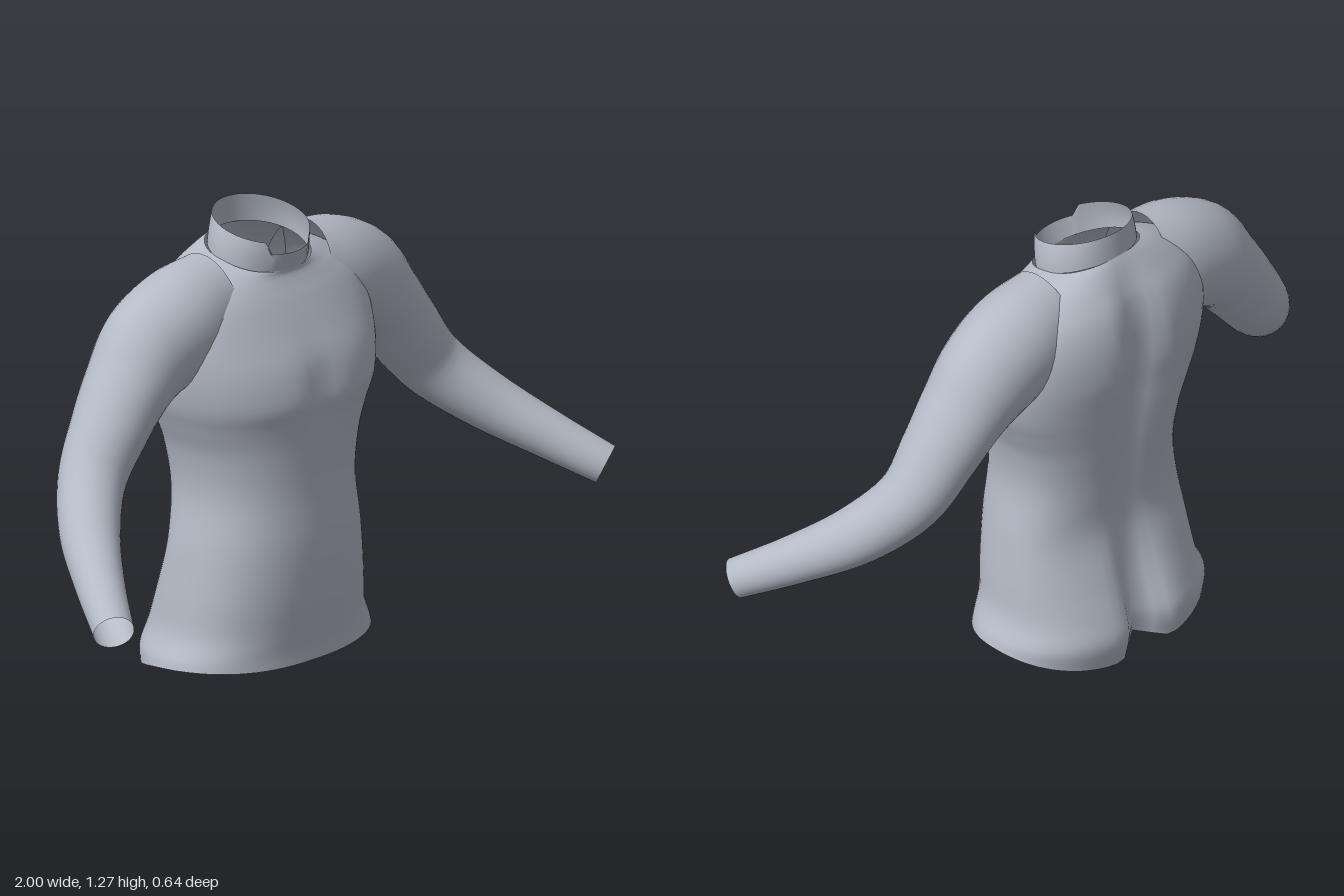
import * as THREE from 'three';

// Smooth open tube: point(t, angle) gives the surface, t running 0..1
function loft(point, rows, cols, flip, material, name) {
  const pos = [], idx = [];
  for (let i = 0; i <= rows; i++) {
    for (let j = 0; j < cols; j++) pos.push(...point(i / rows, (j / cols) * Math.PI * 2));
  }
  for (let i = 0; i < rows; i++) {
    for (let j = 0; j < cols; j++) {
      const a = i * cols + j, b = i * cols + ((j + 1) % cols);
      const c = a + cols, d = b + cols;
      if (flip) idx.push(a, c, b, b, c, d);
      else idx.push(a, b, c, b, d, c);
    }
  }
  const geo = new THREE.BufferGeometry();
  geo.setAttribute('position', new THREE.Float32BufferAttribute(pos, 3));
  geo.setIndex(idx);
  geo.computeVertexNormals();
  const mesh = new THREE.Mesh(geo, material);
  mesh.name = name;
  return mesh;
}

const spline = (pts) =>
  new THREE.CatmullRomCurve3(pts.map((p) => new THREE.Vector3(...p)), false, 'catmullrom', 0.5);
const spow = (v, e) => Math.sign(v) * Math.pow(Math.abs(v), e);

export function createModel() {
  const cloth = new THREE.MeshStandardMaterial({ color: 0xb4bac6, side: THREE.DoubleSide });
  cloth.name = 'greyCloth';
  const shirt = new THREE.Group();
  shirt.name = 'shirt';

  // Torso rows: front y, back y, half width, front z, back z, centre back groove
  const rows = [
    [0.06, 0.0, 0.355, 0.125, -0.315, 0.06],
    [0.1, 0.08, 0.345, 0.125, -0.332, 0.075],
    [0.16, 0.15, 0.317, 0.132, -0.318, 0.07],
    [0.26, 0.26, 0.305, 0.142, -0.28, 0.045],
    [0.39, 0.39, 0.287, 0.147, -0.243, 0.015],
    [0.53, 0.53, 0.265, 0.142, -0.253, 0.02],
    [0.65, 0.65, 0.28, 0.146, -0.272, 0.03],
    [0.73, 0.73, 0.31, 0.154, -0.285, 0.035],
    [0.8, 0.8, 0.338, 0.166, -0.295, 0.04],
    [0.89, 0.9, 0.355, 0.148, -0.31, 0.045],
    [0.98, 1.0, 0.355, 0.105, -0.306, 0.04],
    [1.05, 1.08, 0.325, 0.07, -0.285, 0.03],
    [1.09, 1.14, 0.265, 0.048, -0.25, 0.015],
    [1.115, 1.18, 0.2, 0.036, -0.222, 0.005],
    [1.13, 1.2, 0.148, 0.036, -0.205, 0],
  ];
  const sizeA = spline(rows.map((r) => r.slice(0, 3)));
  const sizeB = spline(rows.map((r) => r.slice(3, 6)));
  const torso = (t, a) => {
    const { x: yf, y: yb, z: w } = sizeA.getPoint(t);
    const { x: zf, y: zb, z: groove } = sizeB.getPoint(t);
    const c = Math.cos(a), back = (1 - c) / 2;
    const x = w * spow(Math.sin(a), 0.85);
    const cz = -0.085;
    let z = cz + (c > 0 ? zf - cz : cz - zb) * spow(c, 0.85);
    let y = yf + (yb - yf) * Math.pow(back, yf < 0.3 ? 3 : 1);
    const mid = Math.exp(-Math.pow(x / 0.055, 2));
    if (c < 0) {
      z += groove * mid;
      // hem lifts at the cleft
      y += 0.035 * mid * Math.max(0, 1 - t * 12);
    } else {
      // shallow dip between the chest halves
      z -= 0.016 * mid * Math.exp(-Math.pow((y - 0.82) / 0.09, 2));
    }
    // hem stays raised at the sides
    y += 0.018 * Math.sin(a) ** 2 * Math.max(0, 1 - t * 12);
    return [x, y, z];
  };
  shirt.add(loft(torso, 70, 72, false, cloth, 'torso'));

  // Standing collar, tilted forward, with a low notch at the throat
  const collar = (t, a) => {
    const c = Math.cos(a), back = (1 - c) / 2;
    const x = (0.148 - 0.015 * t * t) * Math.sin(a);
    const notch = c > 0 && Math.abs(x) < 0.075 ? 0.03 : 0;
    const y0 = 1.125 + 0.072 * back, y1 = 1.21 + 0.065 * back - notch;
    const zf = 0.035 + 0.017 * t, zb = -0.205 + 0.005 * t;
    return [x, y0 + (y1 - y0) * t, (zf + zb) / 2 + ((zf - zb) / 2) * c];
  };
  shirt.add(loft(collar, 6, 64, false, cloth, 'collar'));

  // Sleeve centres, and radii across the arm (height, depth)
  const path = spline([
    [0.17, 1.04, -0.1], [0.29, 1.015, -0.102], [0.4, 0.965, -0.105],
    [0.485, 0.89, -0.1], [0.56, 0.8, -0.092], [0.655, 0.68, -0.07],
    [0.76, 0.575, 0.02], [0.86, 0.485, 0.15], [0.95, 0.405, 0.285],
  ]);
  const radii = spline([
    [0.15, 0.12, 0], [0.155, 0.135, 0], [0.148, 0.13, 0],
    [0.118, 0.12, 0], [0.105, 0.108, 0], [0.092, 0.092, 0],
    [0.08, 0.082, 0], [0.066, 0.067, 0], [0.055, 0.055, 0],
  ]);
  const upRef = new THREE.Vector3(0.6, 0.8, 0);
  for (const side of [1, -1]) {
    const sleeve = (t, a) => {
      const p = path.getPoint(t), r = radii.getPoint(t), dir = path.getTangent(t);
      const v = dir.clone().cross(upRef).normalize();
      const u = v.clone().cross(dir);
      p.addScaledVector(u, Math.cos(a) * r.x).addScaledVector(v, Math.sin(a) * r.y);
      return [p.x * side, p.y, p.z];
    };
    shirt.add(loft(sleeve, 48, 36, side < 0, cloth, side > 0 ? 'leftSleeve' : 'rightSleeve'));
  }
  return shirt;
}
